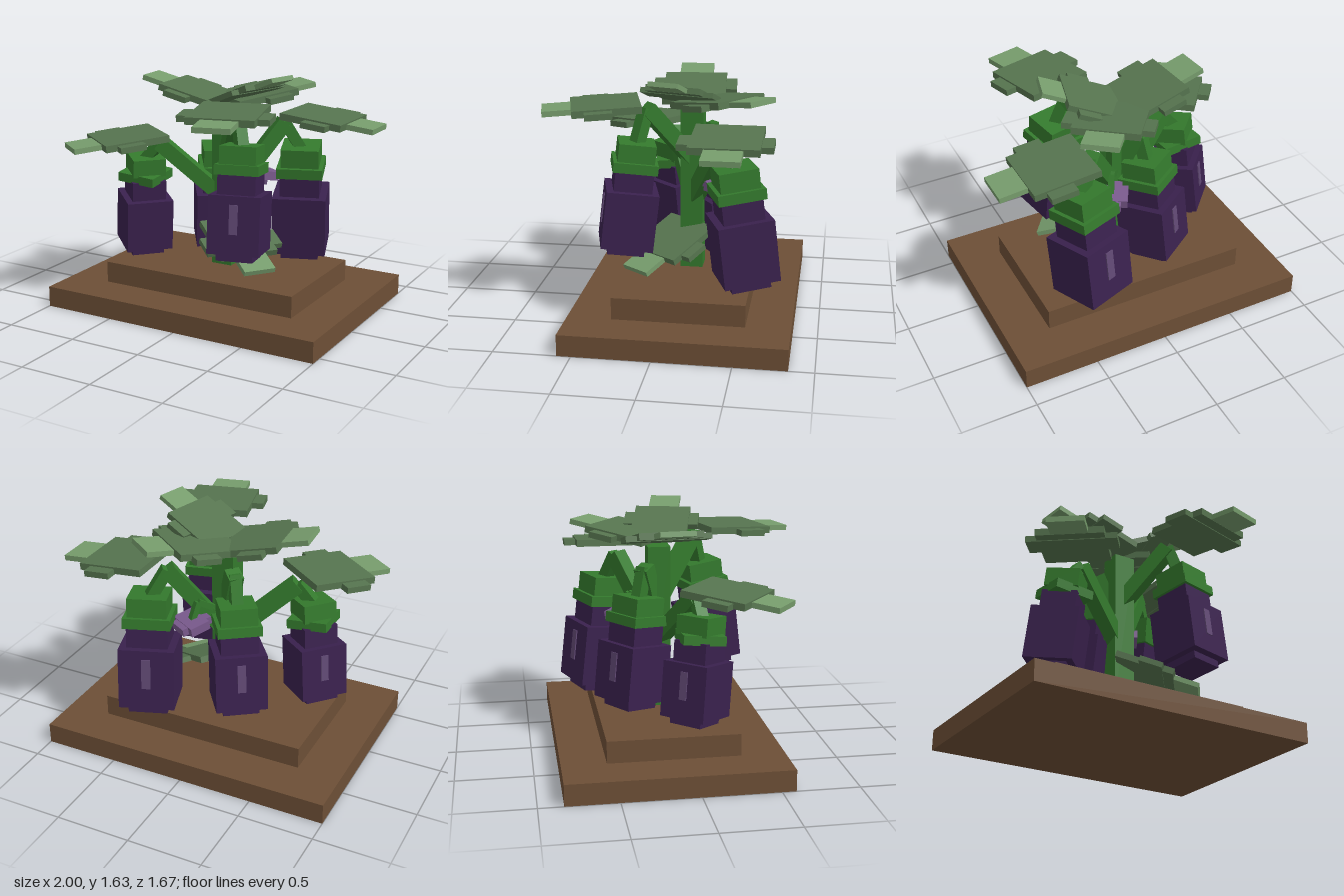
import * as THREE from 'three';

const mat = (name, color) => Object.assign(new THREE.MeshStandardMaterial({ color }), { name });

export function createModel() {
  const soil = mat('soil brown', 0x6d4f36);
  const green = mat('stem green', 0x347a2d);
  const leafGreen = mat('leaf green', 0x56744f);
  const tipGreen = mat('leaf tip green', 0x769c6c);
  const purple = mat('fruit purple', 0x3a214e);
  const shine = mat('shine purple', 0x614974);
  const petal = mat('petal purple', 0x79598c);

  const root = new THREE.Group();
  root.name = 'fruitingPlant';

  const box = (parent, name, m, [w, h, d], [x, y, z]) => {
    const mesh = new THREE.Mesh(new THREE.BoxGeometry(w, h, d), m);
    mesh.name = name;
    mesh.position.set(x, y, z);
    parent.add(mesh);
    return mesh;
  };

  // Square bar running between two points
  const bar = (name, a, b, t) => {
    const p = new THREE.Vector3(...a), q = new THREE.Vector3(...b);
    const mid = p.clone().add(q).multiplyScalar(0.5);
    const mesh = box(root, name, green, [t, t, p.distanceTo(q)], mid.toArray());
    mesh.lookAt(q);
    return mesh;
  };

  // Group whose local +z points along a ground direction, pitched up by some degrees
  const aimed = (name, pos, [dx, dz], pitch, scale) => {
    const g = new THREE.Group();
    g.name = name;
    g.position.set(...pos);
    g.rotation.set(-THREE.MathUtils.degToRad(pitch), Math.atan2(dx, dz), 0, 'YXZ');
    g.scale.setScalar(scale);
    root.add(g);
    return g;
  };

  // Stepped soil bed and main stem
  box(root, 'lowerSoil', soil, [2, 0.14, 1.43], [0, 0.07, -0.125]);
  box(root, 'upperSoil', soil, [1.42, 0.145, 0.855], [0, 0.2125, -0.125]);
  box(root, 'stem', green, [0.15, 1.09, 0.15], [0, 0.83, -0.125]);

  // Leaves: stepped blade with a paler tip
  const leaves = [
    { pos: [0.36, 1.33, -0.41], dir: [1, 0], pitch: -5.5, s: 1 },
    { pos: [0.25, 1.45, 0.19], dir: [0.25, 0.97], pitch: -3, s: 1 },
    { pos: [-0.43, 1.185, 0.06], dir: [-0.61, 0.79], pitch: -5, s: 1 },
    { pos: [0, 1.41, -0.125], dir: [-1, 0.08], pitch: 14, s: 0.95 },
    { pos: [0, 1.42, -0.125], dir: [0.96, 0.26], pitch: 22, s: 0.85 },
    { pos: [0, 1.42, -0.125], dir: [0.6, -0.8], pitch: 8, s: 0.98 },
    { pos: [0, 0.58, -0.125], dir: [0.8, 0.6], pitch: -21, s: 0.92 },
  ];
  for (const { pos, dir, pitch, s } of leaves) {
    const g = aimed('leaf', pos, dir, pitch, s);
    box(g, 'leafBlade', leafGreen, [0.44, 0.046, 0.44], [0, 0, 0.22]);
    box(g, 'leafLobes', leafGreen, [0.59, 0.04, 0.175], [0, -0.008, 0.275]);
    box(g, 'leafTip', tipGreen, [0.24, 0.036, 0.2], [0, -0.004, 0.525]);
  }

  // Fruits, each hanging from a bent branch
  const fruits = [
    { pos: [0.31, 0.71, 0.26], dir: [0.25, 0.97], s: 1, turn: 0,
      fork: [0, 1.02, -0.12], knee: [0.23, 1.41, 0.15] },
    { pos: [-0.565, 0.555, 0.04], dir: [-0.735, -0.676], s: 0.94, turn: Math.PI / 4,
      fork: [-0.02, 0.75, -0.12], knee: [-0.42, 1.12, 0.06] },
    { pos: [-0.17, 0.57, -0.32], dir: [-0.57, -0.82], s: 1, turn: 0,
      fork: [0, 0.9, -0.14], knee: [-0.1, 1.25, -0.23] },
    { pos: [0.385, 0.56, -0.5], dir: [-0.34, -0.94], s: 1.08, turn: 0,
      fork: [0.02, 0.78, -0.14], knee: [0.31, 1.26, -0.37] },
  ];
  for (const { pos, dir, s, turn, fork, knee } of fruits) {
    const g = aimed('fruit', pos, dir, 7, s);
    box(g, 'fruitBody', purple, [0.34, 0.38, 0.34], [0, 0, 0]);
    box(g, 'fruitBottom', purple, [0.24, 0.05, 0.24], [0, -0.215, 0]);
    box(g, 'fruitNeck', purple, [0.25, 0.14, 0.25], [0, 0.26, 0]);
    box(g, 'fruitShine', shine, [0.055, 0.19, 0.008], [0, 0.04, 0.173]);
    box(g, 'sepals', green, [0.29, 0.065, 0.29], [0, 0.35, 0]).rotation.y = turn;
    box(g, 'calyx', green, [0.24, 0.13, 0.24], [0, 0.435, 0]);
    g.updateMatrixWorld(true);
    const top = g.localToWorld(new THREE.Vector3(0, 0.47, 0)).toArray();
    bar('branch', fork, knee, 0.1);
    bar('fruitStalk', knee, top, 0.075);
  }

  // Small hanging flower behind the stem
  bar('flowerStalk', [0.02, 0.92, -0.15], [0.13, 1.03, -0.3], 0.04);
  bar('flowerStalk', [0.13, 1.03, -0.3], [0.155, 0.9, -0.34], 0.04);
  const flower = aimed('flower', [0.155, 0.89, -0.34], [0.5, -0.85], -10, 1);
  box(flower, 'petals', petal, [0.22, 0.06, 0.14], [0, 0, 0]);
  box(flower, 'petals', petal, [0.14, 0.052, 0.22], [0, 0, 0]);
  box(flower, 'flowerHeart', shine, [0.07, 0.05, 0.07], [0, -0.05, 0]);

  return root;
}
